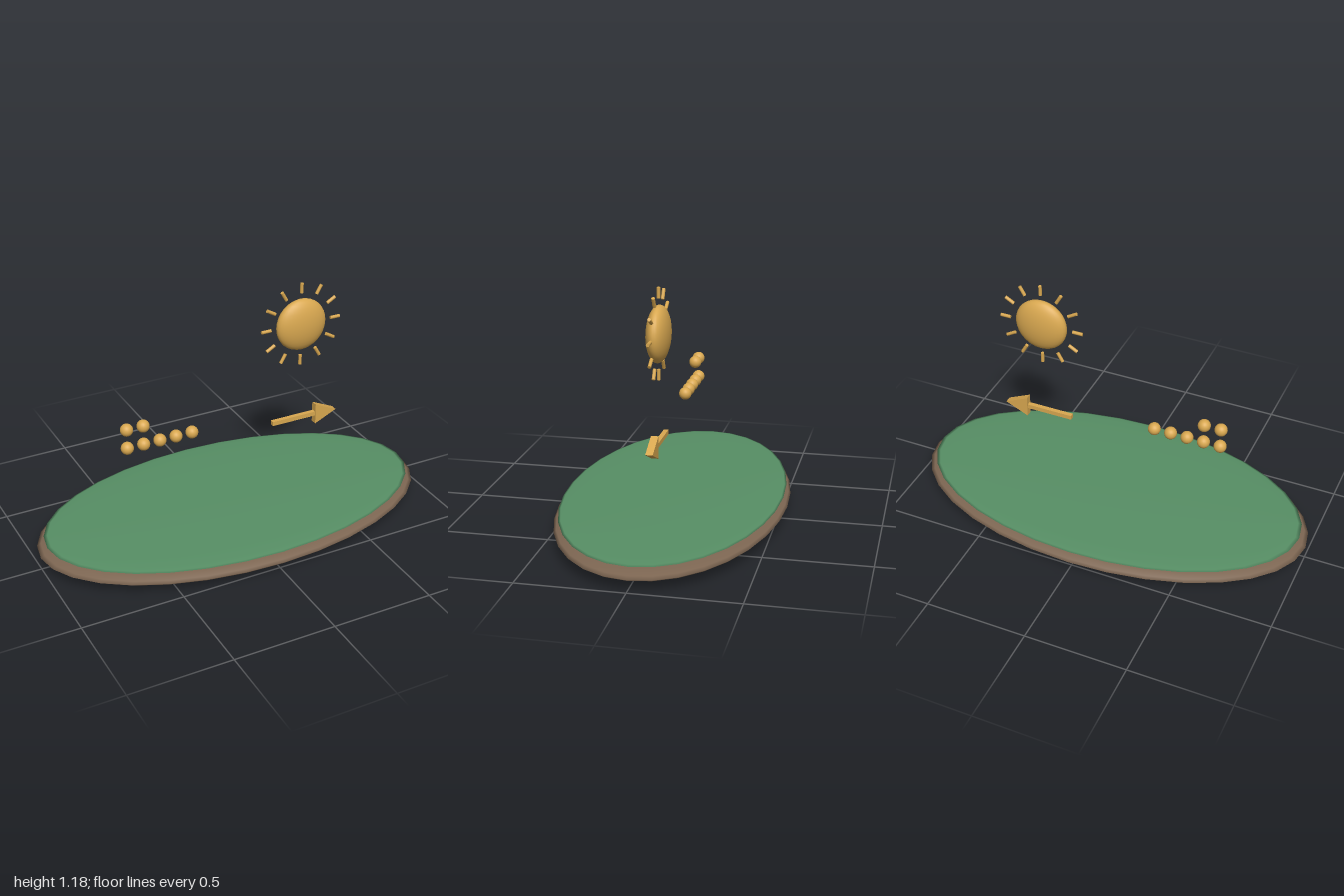
import * as THREE from 'three';

export function createModel() {
  const model = new THREE.Group();
  const gold = new THREE.MeshStandardMaterial({ color: 0xd9a850 });
  const green = new THREE.MeshStandardMaterial({ color: 0x578f65 });
  const brown = new THREE.MeshStandardMaterial({ color: 0x7d6652 });

  const add = (name, geometry, material, x, y, z = 0, parent = model) => {
    const mesh = new THREE.Mesh(geometry, material);
    mesh.name = name;
    mesh.position.set(x, y, z);
    parent.add(mesh);
    return mesh;
  };
  const ellipsoid = (rx, ry, rz, w = 32, h = 16) =>
    new THREE.SphereGeometry(1, w, h).scale(rx, ry, rz);

  // Flattened island: earth below, thin grass layer on top
  add('earth', ellipsoid(1, 0.059, 0.545), brown, 0, 0.059);
  add('grass', ellipsoid(0.965, 0.0165, 0.525), green, 0, 0.105);

  // Sun disc with twelve short rays
  const sun = new THREE.Group();
  sun.name = 'sun';
  sun.position.set(0.37, 0.972, 0);
  model.add(sun);
  add('sunDisc', ellipsoid(0.131, 0.131, 0.053), gold, 0, 0, 0, sun);
  const rayGeometry = new THREE.CylinderGeometry(0.0085, 0.0085, 0.05, 8);
  for (let i = 0; i < 12; i++) {
    const a = (i * Math.PI) / 6;
    const ray = add('sunRay', rayGeometry, gold, Math.cos(a) * 0.187, Math.sin(a) * 0.187, 0, sun);
    ray.rotation.z = a - Math.PI / 2;
  }

  // Counting beads: a row of two above a row of five
  const beads = new THREE.Group();
  beads.name = 'beads';
  model.add(beads);
  const beadGeometry = new THREE.SphereGeometry(0.031, 20, 14);
  for (const [count, y] of [[2, 0.631], [5, 0.534]]) {
    for (let i = 0; i < count; i++) add('bead', beadGeometry, gold, -0.543 + i * 0.083, y, 0, beads);
  }

  // Arrow pointing to +x: bar shaft and wedge head
  const arrow = new THREE.Group();
  arrow.name = 'arrow';
  arrow.position.set(0.222, 0.47, 0);
  model.add(arrow);
  add('arrowShaft', new THREE.BoxGeometry(0.236, 0.022, 0.022), gold, 0.118, 0, 0, arrow);
  const head = new THREE.Shape([
    new THREE.Vector2(0, -0.053),
    new THREE.Vector2(0.115, 0),
    new THREE.Vector2(0, 0.053),
  ]);
  const headGeometry = new THREE.ExtrudeGeometry(head, { depth: 0.034, bevelEnabled: false });
  add('arrowHead', headGeometry, gold, 0.235, 0, -0.017, arrow);

  return model;
}
